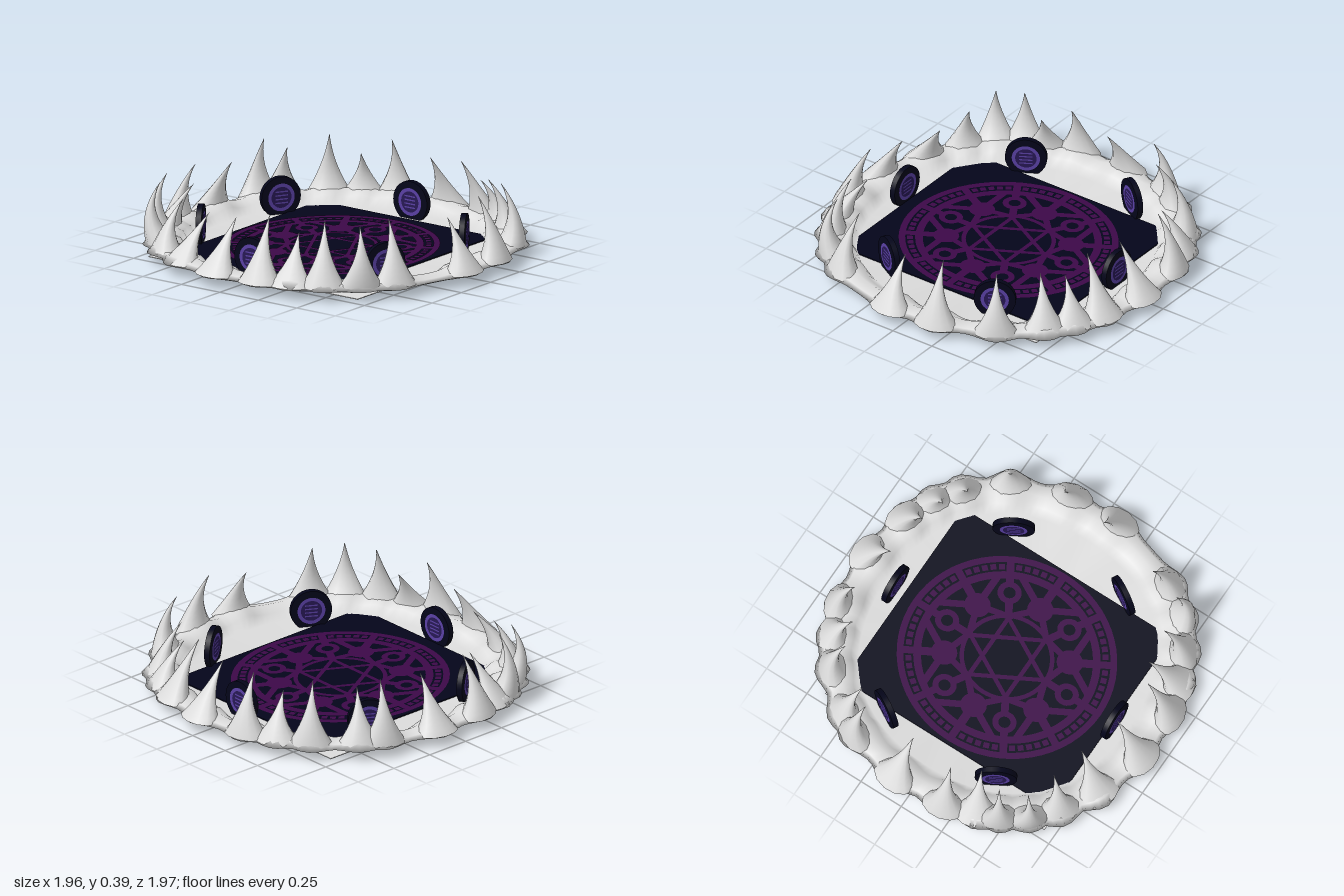
import * as THREE from 'three';
import { mergeGeometries } from 'three/addons/utils/BufferGeometryUtils.js';

const mat = (name, color) => {
  const m = new THREE.MeshStandardMaterial({ color });
  m.name = name;
  return m;
};

// Skin a list of closed rings (each the same number of points)
function loft(rings) {
  const n = rings[0].length, pos = [], idx = [];
  rings.forEach(r => r.forEach(p => pos.push(...p)));
  for (let j = 0; j < rings.length - 1; j++)
    for (let i = 0; i < n; i++) {
      const a = j * n + i, c = j * n + (i + 1) % n, b = a + n, d = c + n;
      idx.push(a, b, c, b, d, c);
    }
  const g = new THREE.BufferGeometry();
  g.setAttribute('position', new THREE.Float32BufferAttribute(pos, 3));
  g.setIndex(idx);
  g.computeVertexNormals();
  return g;
}

// Spike tips: x, z, height
const TIPS = [
  [0.04, -0.75, 0.34], [-0.24, -0.79, 0.38], [-0.38, -0.71, 0.30], [-0.54, -0.65, 0.39],
  [-0.67, -0.46, 0.34], [-0.76, -0.38, 0.39], [-0.75, -0.09, 0.33], [-0.79, 0.17, 0.37],
  [-0.70, 0.30, 0.31], [-0.76, 0.45, 0.39], [-0.70, 0.59, 0.38], [-0.52, 0.63, 0.33],
  [-0.32, 0.67, 0.30], [-0.09, 0.74, 0.33], [0.15, 0.77, 0.39], [0.28, 0.69, 0.30],
  [0.44, 0.68, 0.39], [0.63, 0.63, 0.38], [0.68, 0.45, 0.39], [0.78, 0.08, 0.33],
  [0.79, -0.17, 0.39], [0.72, -0.46, 0.38], [0.53, -0.60, 0.34], [0.42, -0.68, 0.30], [0.27, -0.71, 0.37]
];

// Rim bulges outwards behind each spike
function bulge(a) {
  let best = 0;
  for (const [x, z] of TIPS) {
    let d = a - Math.atan2(z, x);
    d = Math.atan2(Math.sin(d), Math.cos(d));
    best = Math.max(best, Math.exp(-((d / 0.1) ** 2)));
  }
  return best;
}

// Shallow bowl: underside, wavy rim and inner floor
function bowlGeometry() {
  const n = 144;
  const profile = [[0, 0.004, 0], [0.80, 0.005, 0], [0.87, 0.025, 0.3], [0.94, 0.052, 0.9], [0.915, 0.075, 0.7],
    [0.86, 0.09, 0.1], [0.81, 0.06, -0.3], [0.76, 0.02, 0], [0, 0.018, 0]];
  return loft(profile.map(([r, y, k]) => Array.from({ length: n }, (_, i) => {
    const a = i / n * Math.PI * 2, b = bulge(a);
    const wave = r > 0.5 ? -0.014 * Math.cos(4 * a) : 0;
    const R = r + k * 0.06 * b + wave;
    return [R * Math.cos(a), y + (y > 0.055 ? 0.03 * b - 0.01 : 0), R * Math.sin(a)];
  })));
}

// Tooth with a wide flared foot that melts into the rim
function spikeGeometry([tx, tz, h]) {
  const a = Math.atan2(tz, tx), c = Math.cos(a), s = Math.sin(a), tipR = Math.hypot(tx, tz);
  const curve = new THREE.QuadraticBezierCurve3(
    new THREE.Vector3(0.905 * c, 0.058, 0.905 * s),
    new THREE.Vector3((tipR + 0.1) * c, 0.05 + h * 0.45, (tipR + 0.1) * s),
    new THREE.Vector3(tx, h, tz));
  const rings = [];
  for (let j = 0; j <= 10; j++) {
    const t = j / 10, p = curve.getPoint(t), w = (1 - t) ** 2.4, v0 = 1 - t;
    rings.push(Array.from({ length: 12 }, (_, i) => {
      const q = i / 12 * Math.PI * 2;
      const u = Math.cos(q) * (0.042 * w + 0.04 * v0 + 0.001);
      const v = Math.sin(q) * (0.075 * w + 0.045 * v0 + 0.001);
      return [p.x + u * c - v * s, p.y, p.z + u * s + v * c];
    }));
  }
  return loft(rings);
}

// Flat line-work of the circle, drawn in a unit disc on the XY plane
function circlePattern() {
  const parts = [];
  const ring = (r0, r1, x = 0, y = 0, seg = 64) =>
    parts.push(new THREE.RingGeometry(r0, r1, seg).translate(x, y, 0));
  const line = (x0, y0, x1, y1, w) => parts.push(
    new THREE.PlaneGeometry(Math.hypot(x1 - x0, y1 - y0), w)
      .rotateZ(Math.atan2(y1 - y0, x1 - x0)).translate((x0 + x1) / 2, (y0 + y1) / 2, 0));
  const P = (r, deg) => [r * Math.cos(deg * Math.PI / 180), r * Math.sin(deg * Math.PI / 180)];
  ring(0.94, 1); ring(0.78, 0.85); ring(0.39, 0.43);
  // Marks between the two outer rings
  for (let i = 0; i < 72; i++) {
    if (i % 6 === 0) line(...P(0.83, i * 5), ...P(0.95, i * 5), 0.07);
    else line(...P(0.868, i * 5), ...P(0.922, i * 5), 0.054);
  }
  for (let k = 0; k < 6; k++) {
    const d = 60 * k;
    // Six-pointed star
    line(...P(0.39, d + 30), ...P(0.39, d + 150), 0.04);
    // Nodes and web
    ring(0.035, 0.12, ...P(0.57, d), 24);
    ring(0.055, 0.11, ...P(0.64, d + 30), 24);
    line(...P(0.57, d), ...P(0.8, d + 22), 0.065);
    line(...P(0.57, d), ...P(0.8, d - 22), 0.065);
    line(...P(0.66, d), ...P(0.8, d), 0.08);
    line(...P(0.57, d), ...P(0.41, d + 28), 0.06);
    line(...P(0.57, d), ...P(0.41, d - 28), 0.06);
    line(...P(0.41, d + 30), ...P(0.56, d + 30), 0.07);
    line(...P(0.73, d + 30), ...P(0.80, d + 30), 0.07);
  }
  return mergeGeometries(parts);
}

export function createModel() {
  const bone = mat('bone', 0xdcdcdc), navy = mat('navy', 0x04051a), plum = mat('plum', 0x3d0848);
  const violet = mat('violet', 0x5a40a4), indigo = mat('indigo', 0x271854);
  const model = new THREE.Group();
  const add = (parent, name, geo, m, x = 0, y = 0, z = 0) => {
    const mesh = new THREE.Mesh(geo, m);
    mesh.name = name;
    mesh.position.set(x, y, z);
    parent.add(mesh);
    return mesh;
  };

  add(model, 'bowl', bowlGeometry(), bone);
  const spikes = new THREE.Group();
  spikes.name = 'spikes';
  model.add(spikes);
  TIPS.forEach(t => add(spikes, 'spike', spikeGeometry(t), bone));

  // Square base whose corners pass below the rim
  add(model, 'basePlate', new THREE.BoxGeometry(1.36, 0.004, 1.36), bone, -0.02, 0.004, 0.01);
  add(model, 'floorPlate', new THREE.BoxGeometry(1.13, 0.006, 1.29), navy, -0.025, 0.025, 0.015);
  const circle = add(model, 'floorCircle', circlePattern(), plum, -0.023, 0.031, 0.01);
  circle.rotation.x = -Math.PI / 2;
  circle.scale.set(0.55, 0.58, 1);

  // Floor corners showing on the underside, two of them as narrow slivers
  for (const [x, z, w, d] of [[0.54, 0.66, 0.1, 0.1], [-0.59, -0.63, 0.1, 0.1],
    [0.54, -0.63, 0.03, 0.12], [-0.59, 0.66, 0.03, 0.12]]) {
    const sx = Math.sign(x), sz = Math.sign(z);
    const tri = new THREE.Shape([[0, 0], [-w * sx, 0], [0, -d * sz]].map(p => new THREE.Vector2(...p)));
    add(model, 'floorCorner', new THREE.ShapeGeometry(tri), navy, x, 0.001, z).rotation.x = Math.PI / 2;
  }

  // Six upright medallions, alike on both faces
  for (let k = 0; k < 6; k++) {
    const a = Math.PI / 6 + k * Math.PI / 3;
    const disc = new THREE.Group();
    disc.name = 'medallion';
    disc.position.set(-0.027 + 0.69 * Math.cos(a), 0.11, 0.68 * Math.sin(a));
    disc.rotation.y = Math.atan2(Math.cos(a), Math.sin(a));
    model.add(disc);
    add(disc, 'medallionBody', new THREE.CylinderGeometry(0.11, 0.11, 0.03, 28).rotateX(Math.PI / 2), navy);
    for (const turn of [0, Math.PI]) {
      const face = new THREE.Group();
      face.name = 'medallionFace';
      face.rotation.y = turn;
      disc.add(face);
      add(face, 'faceCentre', new THREE.CircleGeometry(0.06, 28), indigo, 0, 0, 0.017);
      add(face, 'faceRing', new THREE.RingGeometry(0.056, 0.074, 28), violet, 0, 0, 0.018);
      for (const y of [-0.03, -0.01, 0.01, 0.03])
        add(face, 'faceBar', new THREE.PlaneGeometry(0.07, 0.007), violet, 0, y, 0.018);
    }
  }
  return model;
}
